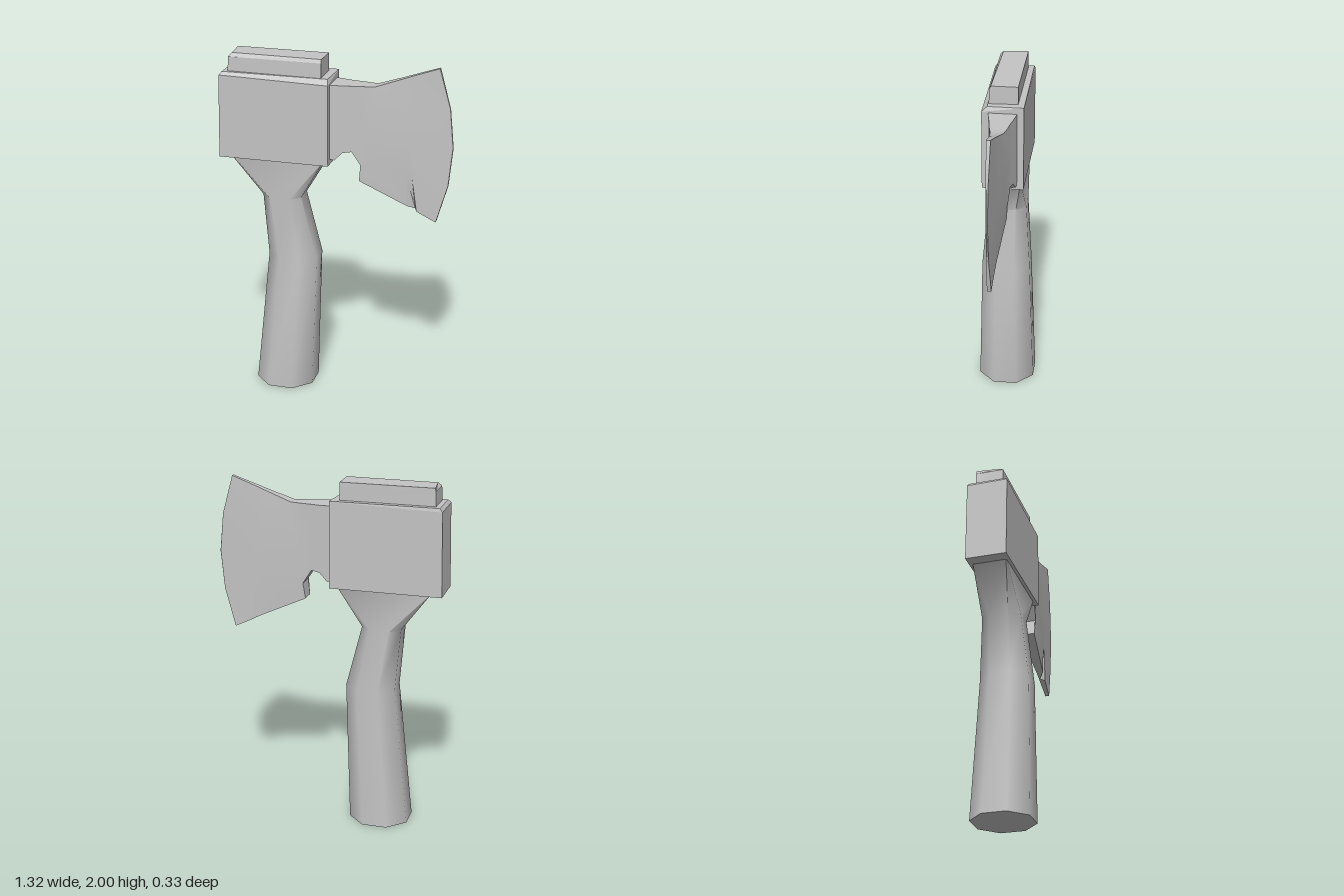
import * as THREE from 'three';
import { toCreasedNormals } from 'three/addons/utils/BufferGeometryUtils.js';

// Skin between closed rings of [x, y, z] points, with optional flat end caps
function loft(rings, crease, caps = true) {
  const n = rings[0].length, pos = [];
  const tri = (a, b, c) => pos.push(...a, ...b, ...c);
  for (let i = 0; i < rings.length - 1; i++) {
    for (let j = 0; j < n; j++) {
      const k = (j + 1) % n, lo = rings[i], hi = rings[i + 1];
      tri(lo[j], lo[k], hi[k]);
      tri(lo[j], hi[k], hi[j]);
    }
  }
  if (caps) {
    const lo = rings[0], hi = rings[rings.length - 1];
    for (let j = 1; j < n - 1; j++) {
      tri(lo[0], lo[j + 1], lo[j]);
      tri(hi[0], hi[j], hi[j + 1]);
    }
  }
  const g = new THREE.BufferGeometry();
  g.setAttribute('position', new THREE.Float32BufferAttribute(pos, 3));
  return toCreasedNormals(g, crease);
}

// Octagon at height y; k sets how square the corners are
function octagon(y, x0, x1, b, k) {
  const c = (x0 + x1) / 2, a = (x1 - x0) / 2;
  return [[1, k], [k, 1], [-k, 1], [-1, k], [-1, -k], [-k, -1], [k, -1], [1, -k]]
    .map(([u, v]) => [c + u * a, y, -v * b]);
}

// Rectangle at height y
const rect = (y, x0, x1, zBack, zFront) =>
  [[x1, y, zFront], [x1, y, zBack], [x0, y, zBack], [x0, y, zFront]];

// Half thickness of the blade, thinning towards the cutting edge
const profile = [[-0.04, 0.082], [0, 0.076], [0.12, 0.053], [0.23, 0.041], [0.66, 0.004]];
function halfThickness(x) {
  for (let i = 1; i < profile.length; i++) {
    const [xa, za] = profile[i - 1], [xb, zb] = profile[i];
    if (x <= xb) return za + (zb - za) * (x - xa) / (xb - xa);
  }
  return 0.004;
}

// One slice of the blade from its top edge to its bottom edge
function bladeRing({ t, b, bulge = 0, thin = 1, dent = null, scale = 1 }) {
  const front = [], back = [];
  for (let r = 0; r <= 4; r++) {
    const s = r / 4;
    const x = t[0] + (b[0] - t[0]) * s + bulge * 4 * s * (1 - s);
    const y = t[1] + (b[1] - t[1]) * s;
    const z = halfThickness(x) * (r === 0 || r === 4 ? thin : 1) * scale;
    front.push([x, y, r === 4 && dent !== null ? dent : z]);
    back.unshift([x, y, -z]);
  }
  return [...front, ...back];
}

export function createModel() {
  const group = new THREE.Group();
  const grey = new THREE.MeshStandardMaterial({ color: 0xc4c4c4 });
  grey.name = 'grey';
  const add = (name, geometry) => {
    const mesh = new THREE.Mesh(geometry, grey);
    mesh.name = name;
    group.add(mesh);
  };

  // Bent eight-sided handle, flaring into a rectangle under the head
  add('handle', loft([
    octagon(0, -0.48, -0.14, 0.165, 0.42),
    octagon(0.82, -0.395, -0.11, 0.14, 0.42),
    octagon(1.18, -0.425, -0.2, 0.112, 0.5),
    octagon(1.41, -0.595, -0.065, 0.098, 0.97),
  ], 0.95));

  // Head block with worn upper edges at the front and the left
  add('headBlock', loft([
    rect(1.405, -0.662, -0.025, -0.117, 0.117),
    [[-0.025, 1.868, 0.117], [-0.025, 1.895, -0.117], [-0.652, 1.88, -0.117], [-0.652, 1.882, 0.117]],
    [[-0.035, 1.896, 0.085], [-0.025, 1.9, -0.117], [-0.637, 1.9, -0.113], [-0.637, 1.9, 0.103]],
  ], 0.2));

  // Handle end showing above the head
  add('handleCap', loft([
    rect(1.89, -0.61, -0.073, -0.08, 0.082),
    rect(1.98, -0.606, -0.073, -0.08, 0.08),
    [[-0.073, 2, 0.07], [-0.073, 2, -0.08], [-0.603, 2, -0.08], [-0.588, 2, 0.062]],
  ], 0.2));

  // Wedge blade with a hooked beard and a chip in the front of its lower edge
  const edge = { t: [0.57, 1.982], b: [0.57, 1.095], bulge: 0.083 };
  add('blade', loft([
    { t: [-0.04, 1.862], b: [-0.04, 1.44] },
    { t: [0, 1.862], b: [0, 1.43] },
    { t: [0.05, 1.86], b: [0.045, 1.475] },
    { t: [0.1, 1.86], b: [0.095, 1.482] },
    { t: [0.16, 1.86], b: [0.148, 1.4] },
    { t: [0.22, 1.86], b: [0.135, 1.31], thin: 0.85 },
    { t: [0.385, 1.917], b: [0.405, 1.18], thin: 0.75 },
    { t: [0.39, 1.919], b: [0.447, 1.158], thin: 0.75, dent: -0.012 },
    { t: [0.4, 1.923], b: [0.46, 1.15], thin: 0.75 },
    edge,
    { ...edge, bulge: 0.086, scale: 0 },
  ].map(bladeRing), 0.45, false));

  return group;
}
